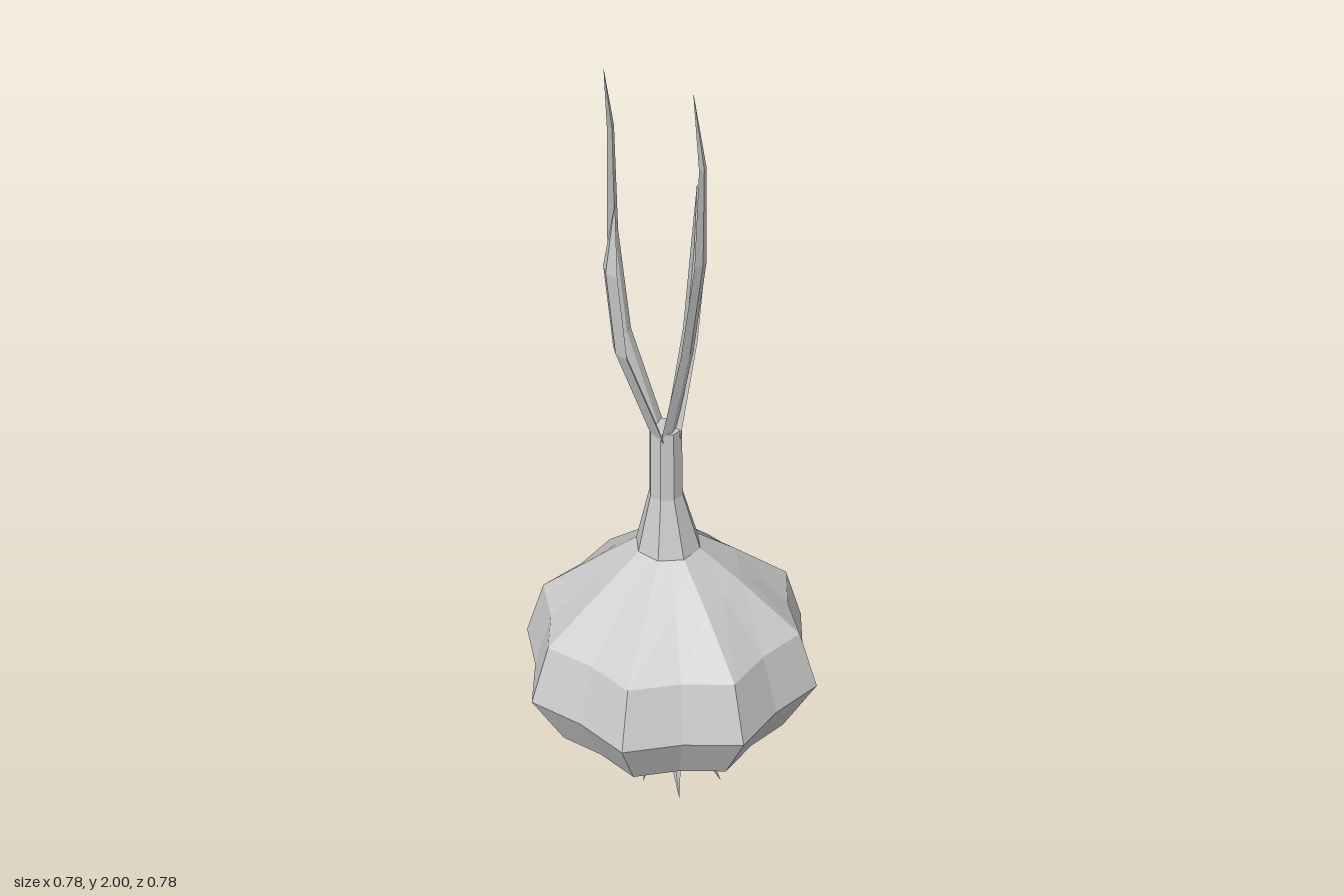
import * as THREE from 'three';

const material = new THREE.MeshStandardMaterial({ color: 0xcccccc, flatShading: true });

// Skin over equal-length rings, listed bottom to top, each counter-clockwise from above
function loft(name, rings) {
  const n = rings[0].length;
  const pos = [];
  const tri = (a, b, c) => pos.push(...a, ...b, ...c);
  const centre = (ring) => [0, 1, 2].map((k) => ring.reduce((s, p) => s + p[k], 0) / n);
  const bottom = rings[0], top = rings[rings.length - 1];
  const c0 = centre(bottom), c1 = centre(top);
  for (let i = 0; i < n; i++) {
    const j = (i + 1) % n;
    for (let r = 0; r < rings.length - 1; r++) {
      const a = rings[r], b = rings[r + 1];
      tri(a[i], a[j], b[j]);
      tri(a[i], b[j], b[i]);
    }
    tri(c0, bottom[j], bottom[i]);
    tri(c1, top[i], top[j]);
  }
  const geo = new THREE.BufferGeometry();
  geo.setAttribute('position', new THREE.Float32BufferAttribute(pos, 3));
  geo.computeVertexNormals();
  const mesh = new THREE.Mesh(geo, material);
  mesh.name = name;
  return mesh;
}

// Eight ridges with shallower valleys between them
function lobedRing([y, radius, valley, cx]) {
  const ring = [];
  for (let i = 0; i < 16; i++) {
    const a = (i * Math.PI) / 8;
    const r = i % 2 ? radius * valley : radius;
    ring.push([cx + Math.sin(a) * r, y, Math.cos(a) * r]);
  }
  return ring;
}

// Diamond section swept along a path of [x, y, z, halfWidth]; angle is the outward heading
function leaf(name, angle, path) {
  const s = Math.sin(angle), c = Math.cos(angle);
  return loft(name, path.map(([x, y, z, w]) => {
    const t = w * 0.32;
    return [
      [x + s * t, y, z + c * t],
      [x + c * w, y, z - s * w],
      [x - s * t, y, z - c * t],
      [x - c * w, y, z + s * w],
    ];
  }));
}

export function createModel() {
  const group = new THREE.Group();

  // Bulb narrowing into the neck: [y, ridge radius, valley ratio, centre x]
  group.add(loft('bulbAndNeck', [
    [0.14, 0.08, 0.92, 0],
    [0.22, 0.305, 0.885, 0],
    [0.37, 0.39, 0.885, 0],
    [0.525, 0.34, 0.885, 0],
    [0.65, 0.19, 0.91, 0],
    [0.735, 0.083, 0.924, -0.004],
    [0.89, 0.043, 0.924, -0.01],
    [1.08, 0.041, 0.924, -0.011],
  ].map(lobedRing)));

  // Four leaves sprouting from the neck
  group.add(leaf('frontLeaf', 0.4, [
    [-0.015, 1.06, 0.02, 0.028],
    [0.012, 1.31, 0.065, 0.024],
    [0.02, 1.57, 0.112, 0.022],
    [0.012, 1.82, 0.133, 0.013],
    [-0.008, 2.0, 0.125, 0.0005],
  ]));
  group.add(leaf('backLeaf', Math.PI + 0.45, [
    [-0.02, 1.06, -0.025, 0.028],
    [-0.07, 1.31, -0.095, 0.024],
    [-0.072, 1.55, -0.148, 0.021],
    [-0.064, 1.81, -0.167, 0.013],
    [-0.084, 1.96, -0.156, 0.0005],
  ]));
  group.add(leaf('rightLeaf', -Math.PI / 2, [
    [-0.035, 1.06, 0, 0.037],
    [-0.13, 1.32, 0, 0.036],
    [-0.152, 1.54, 0, 0.036],
    [-0.138, 1.71, 0, 0.0005],
  ]));
  group.add(leaf('leftLeaf', Math.PI / 2, [
    [0.01, 1.06, 0, 0.036],
    [0.055, 1.32, 0, 0.036],
    [0.075, 1.54, 0, 0.036],
    [0.07, 1.71, 0, 0.0005],
  ]));

  // Pointed roots fanning out below the bulb, given by their tips
  const roots = new THREE.Group();
  roots.name = 'roots';
  const tips = [
    [0.13, 0.055, 0.04], [0.09, 0.005, 0.12], [0.02, 0.05, 0.06],
    [-0.05, 0.025, 0.15], [-0.11, 0.04, 0.06], [-0.135, 0.075, -0.01],
    [-0.11, 0.04, -0.08], [-0.05, 0.025, -0.145], [0.06, 0.04, -0.05],
    [0.09, 0.0, -0.12], [-0.02, 0.05, -0.02],
  ];
  const up = new THREE.Vector3(0, 1, 0);
  for (const [x, y, z] of tips) {
    const tip = new THREE.Vector3(x, y, z);
    const base = new THREE.Vector3(x * 0.4, 0.15, z * 0.4);
    const dir = tip.clone().sub(base);
    const root = new THREE.Mesh(new THREE.ConeGeometry(0.022, dir.length(), 4), material);
    root.position.copy(base).add(tip).multiplyScalar(0.5);
    root.quaternion.setFromUnitVectors(up, dir.normalize());
    root.name = 'root';
    roots.add(root);
  }
  group.add(roots);

  return group;
}
